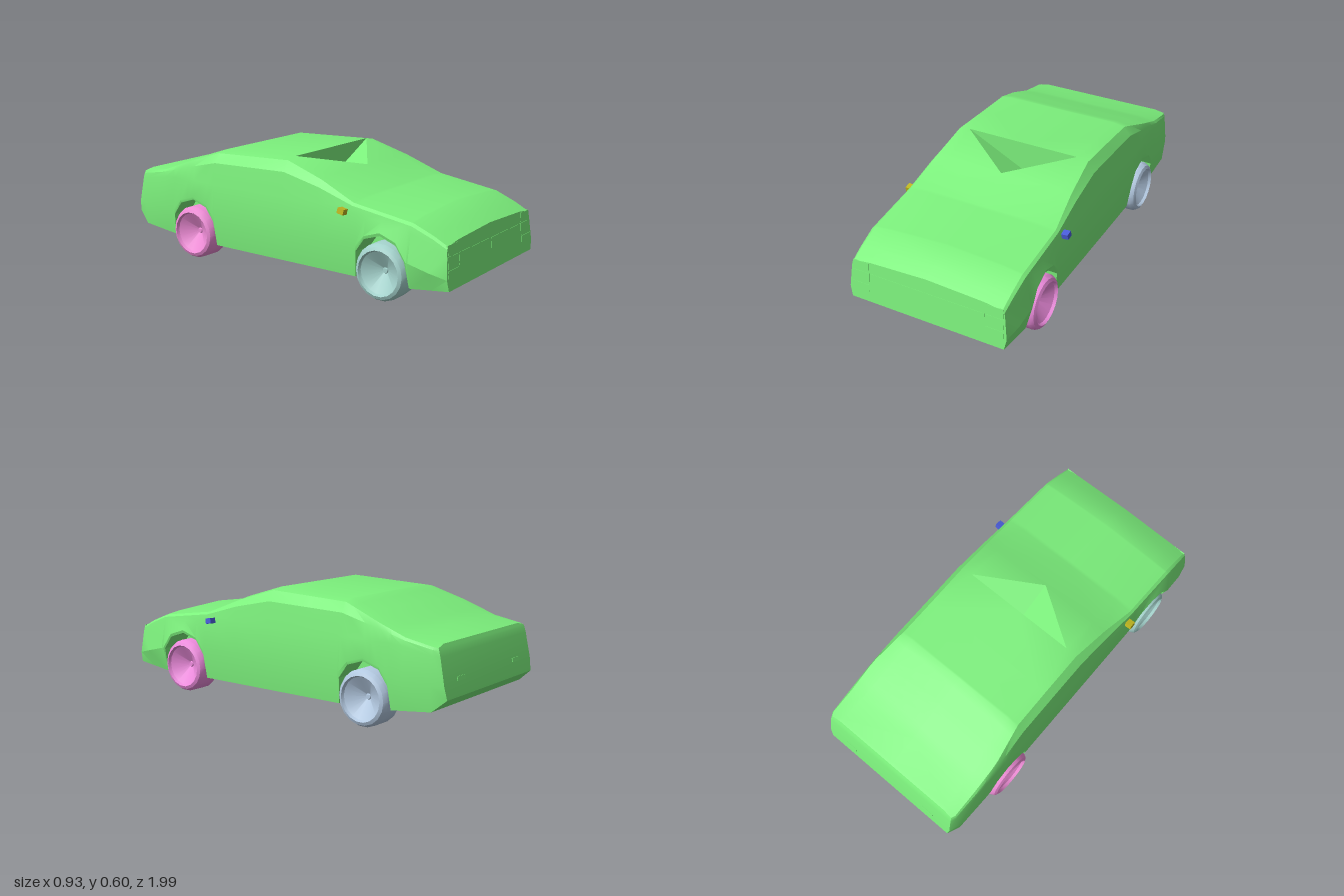
import * as THREE from 'three';
import { toCreasedNormals } from 'three/addons/utils/BufferGeometryUtils.js';

const paint = (color) => new THREE.MeshStandardMaterial({ color });
const FRONT_AXLE = 0.63, REAR_AXLE = -0.56, WHEEL_R = 0.14;

// Piecewise-linear curve through [position, value] pairs, in falling order of position
const curve = (...pts) => (p) => {
  if (p >= pts[0][0]) return pts[0][1];
  for (let i = 1; i < pts.length; i++) {
    const [a, va] = pts[i - 1], [b, vb] = pts[i];
    if (p >= b) return va + (vb - va) * (a - p) / (a - b);
  }
  return pts[pts.length - 1][1];
};

// Body lines along the length of the car
const roofY = curve([0.99, 0.332], [0.79, 0.412], [0.46, 0.46], [0.26, 0.54], [0.04, 0.607],
  [-0.42, 0.59], [-0.6, 0.53], [-0.78, 0.465], [-0.95, 0.435]);
const centreRise = curve([0.99, 0.013], [0.79, 0.018], [0.46, 0]);
const topW = curve([0.99, 0.31], [-0.42, 0.315], [-0.78, 0.335], [-1, 0.35]);
const shoulderW = curve([0.99, 0.405], [0.46, 0.41], [0.26, 0.39], [0.04, 0.375], [-0.4, 0.375], [-0.62, 0.41], [-0.95, 0.41], [-1, 0.4]);
const beltW = curve([0.99, 0.42], [0.79, 0.43], [-0.9, 0.425], [-1, 0.405]);
const midW = curve([0.99, 0.432], [0.9, 0.45], [0.79, 0.455], [0.5, 0.44], [-0.9, 0.44], [-1, 0.41]);
const midY = curve([0.99, 0.17], [0.79, 0.22], [0.46, 0.25]);
const floorY = curve([0.99, 0.115], [0.79, 0.09], [-0.4, 0.09], [-0.72, 0.105], [-0.93, 0.13], [-1, 0.19]);
const archY = curve([0.155, 0], [0.15, 0.09], [0.14, 0.22], [0.09, 0.29], [0, 0.32],
  [-0.09, 0.29], [-0.14, 0.22], [-0.15, 0.09], [-0.155, 0]);
const tailZ = curve([0.435, -0.945], [0.4, -0.96], [0.25, -0.99], [0.19, -1]);

// Half cross-section from the floor centre, round the wheel well and side, to the roof centre
function section(z) {
  const floor = floorY(z);
  const arch = Math.max(floor, archY(z - FRONT_AXLE), archY(z - REAR_AXLE));
  const inArch = arch > floor + 0.02;
  const top = roofY(z), shoulder = top - 0.012;
  const belt = Math.min(0.42, shoulder - 0.04);
  const upper = belt + (shoulder - belt) * 0.7;
  const sw = shoulderW(z), bw = beltW(z);
  const pts = [
    [0, floor], [0.31, floor], [0.31, arch],
    [inArch ? midW(z) - 0.004 : Math.min(0.42, midW(z) - 0.01), arch],
    [midW(z), Math.max(midY(z), arch + 0.015)],
    [bw, belt], [sw + (bw - sw) * 0.7, upper], [sw, shoulder],
    [topW(z), top], [0, top + centreRise(z)],
  ];
  return pts.map(([x, y]) => {
    let pz = z;
    if (z === 0.99) pz -= (y - 0.12) * 0.1;
    if (z === -1) pz = tailZ(y);
    return new THREE.Vector3(x, y, pz);
  });
}

function bodyGeometry() {
  const arches = [FRONT_AXLE, REAR_AXLE].flatMap((a) => [0.15, 0.14, 0.09, 0, -0.09, -0.14, -0.15].map((o) => a + o));
  const stations = [0.99, 0.9, 0.79, 0.46, 0.26, 0.04, -0.2, -0.42, -0.6, -0.78, -0.93, -1, ...arches].sort((a, b) => b - a);
  const rings = stations.map(section);
  const mirror = (v) => new THREE.Vector3(-v.x, v.y, v.z);
  const out = [];
  const tri = (a, b, c) => {
    if (new THREE.Triangle(a, b, c).getArea() > 1e-7) for (const v of [a, b, c]) out.push(v.x, v.y, v.z);
  };
  const both = (a, b, c) => { tri(a, b, c); tri(mirror(a), mirror(c), mirror(b)); };
  const pit = new THREE.Vector3(0, 0.45, 0.04);

  for (let i = 0; i + 1 < rings.length; i++) {
    for (let j = 0; j < 9; j++) {
      const a = rings[i][j], b = rings[i][j + 1], c = rings[i + 1][j], d = rings[i + 1][j + 1];
      both(a, c, b);
      if (stations[i] === 0.26 && j === 8) {
        // Sunken triangle below the front edge of the roof
        both(b, c, pit);
        both(pit, c, d);
      } else both(b, c, d);
    }
  }
  // Nose and tail panels
  const nose = rings[0], tail = rings[rings.length - 1];
  for (let j = 0; j < 9; j++) {
    tri(mirror(nose[j]), nose[j], nose[j + 1]);
    tri(mirror(nose[j]), nose[j + 1], mirror(nose[j + 1]));
    tri(tail[j], mirror(tail[j]), mirror(tail[j + 1]));
    tri(tail[j], mirror(tail[j + 1]), tail[j + 1]);
  }
  const g = new THREE.BufferGeometry();
  g.setAttribute('position', new THREE.Float32BufferAttribute(out, 3));
  return toCreasedNormals(g, 0.45);
}

// Tyre with rounded shoulder and dished rim, axis along y
function wheelGeometry() {
  const profile = [[0, -0.065], [0.125, -0.065], [WHEEL_R, -0.055], [WHEEL_R, 0.04], [0.128, 0.062],
    [0.112, 0.07], [0.105, 0.055], [0.015, 0.0], [0.012, 0.006], [0, 0.006]];
  const g = new THREE.LatheGeometry(profile.map(([r, y]) => new THREE.Vector2(r, y)), 18);
  return toCreasedNormals(g, 0.5);
}

export function createModel() {
  const car = new THREE.Group();
  car.name = 'car';
  const add = (name, geometry, material, x, y, z, parent = car) => {
    const m = new THREE.Mesh(geometry, material);
    m.name = name;
    m.position.set(x, y, z);
    parent.add(m);
    return m;
  };

  const green = paint(0x7cf07c);
  add('body', bodyGeometry(), green, 0, 0, 0);

  // Wheels
  const wheel = wheelGeometry();
  const wheels = [
    ['frontLeftWheel', 1, FRONT_AXLE, 0xee8cde], ['frontRightWheel', -1, FRONT_AXLE, 0xa4d2cc],
    ['rearLeftWheel', 1, REAR_AXLE, 0xb4cae2], ['rearRightWheel', -1, REAR_AXLE, 0xee8cd6],
  ];
  for (const [name, side, z, color] of wheels) {
    add(name, wheel, paint(color), side * 0.386, WHEEL_R, z).rotation.z = -side * Math.PI / 2;
  }

  // Door mirrors, headlamps, grille halves and tail markers
  for (const side of [1, -1]) {
    const label = side > 0 ? 'left' : 'right';
    const mirror = add(label + 'Mirror', new THREE.BoxGeometry(0.04, 0.028, 0.036),
      paint(side > 0 ? 0x4a5cd8 : 0xc0b820), side * 0.444, 0.408, 0.42);
    mirror.rotation.set(0.2, 0, side * 0.1);

    const panel = (name, x, y, w, h) => {
      const m = add(label + name, new THREE.BoxGeometry(w, h, 0.006), green, side * x, y, 0.989 - (y - 0.12) * 0.1);
      m.rotation.x = -0.1;
    };
    panel('Headlamp', 0.365, 0.301, 0.09, 0.046);
    panel('Indicator', 0.367, 0.243, 0.096, 0.058);
    panel('FogLamp', 0.368, 0.19, 0.098, 0.036);
    panel('Grille', 0.158, 0.243, 0.31, 0.058);

    add(label + 'TailMarker', new THREE.BoxGeometry(0.07, 0.02, 0.006), green, side * 0.26, 0.27, -0.986).rotation.x = 0.2;
  }
  return car;
}
